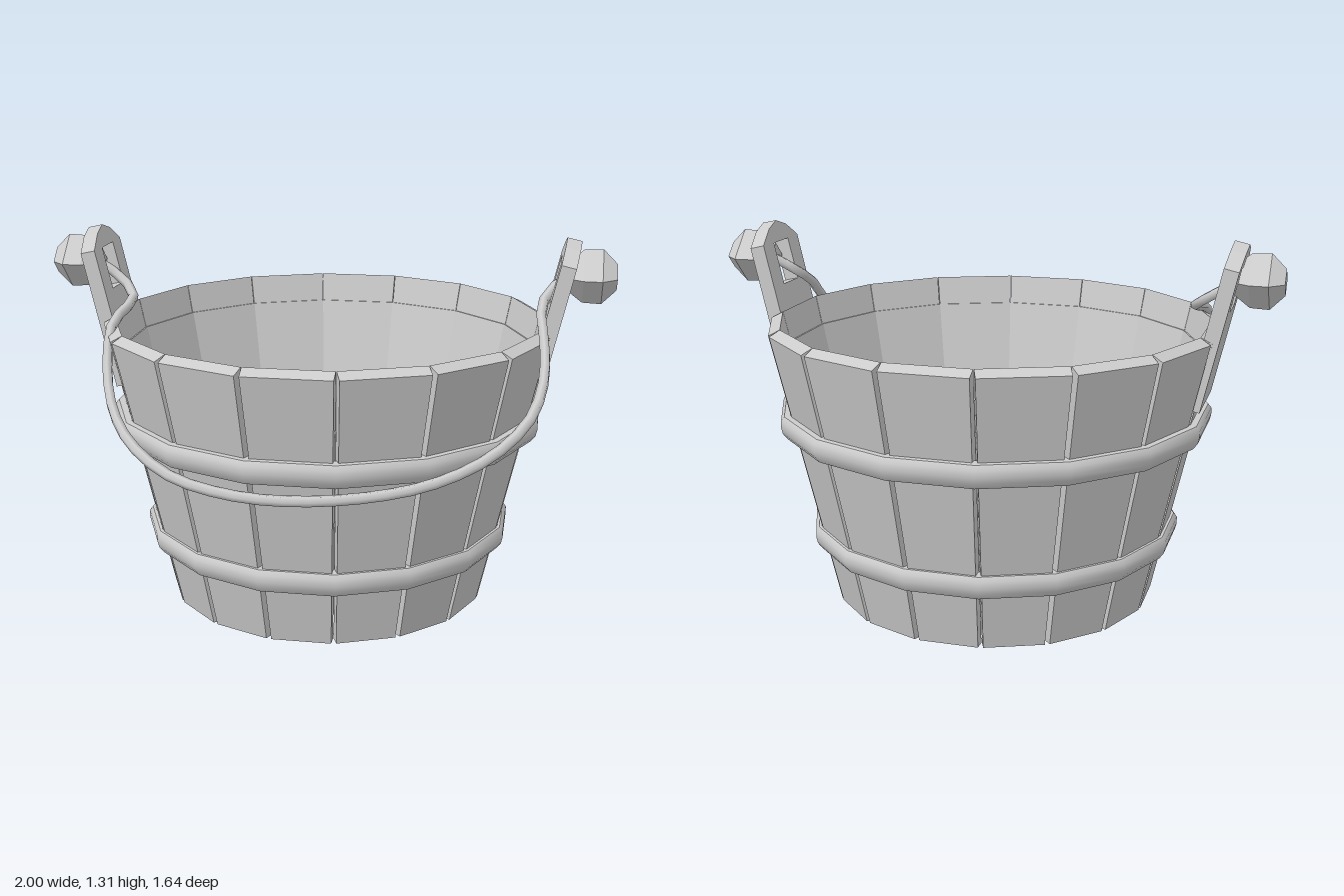
import * as THREE from 'three';
import { toCreasedNormals } from 'three/addons/utils/BufferGeometryUtils.js';

const SIDES = 16;
const HALF = Math.PI / SIDES;
const CENTRE_Z = -0.035; // bucket body sits slightly back, the handle hangs forward

const wood = new THREE.MeshStandardMaterial({ color: 0xcccccc, flatShading: true });
const woodThin = new THREE.MeshStandardMaterial({ color: 0xcccccc, flatShading: true, side: THREE.DoubleSide });
const metal = new THREE.MeshStandardMaterial({ color: 0xcccccc });

function add(parent, name, geometry, material) {
  const mesh = new THREE.Mesh(geometry, material);
  mesh.name = name;
  parent.add(mesh);
  return mesh;
}

// Sixteen-sided ring whose flats line up with the staves; radii are measured to the flats
function facetedLathe(profile) {
  const points = profile.map(([r, y]) => new THREE.Vector2(r / Math.cos(HALF), y));
  return new THREE.LatheGeometry(points, SIDES, HALF);
}

// Tapered plank leaning outward, facing +z
function staveGeometry() {
  const geo = new THREE.BoxGeometry(2, 1, 1);
  const pos = geo.attributes.position;
  for (let i = 0; i < pos.count; i++) {
    const top = pos.getY(i) > 0;
    const outer = pos.getZ(i) > 0;
    const inner = top ? 0.745 : 0.525;
    const halfWidth = inner * Math.tan(HALF) - 0.001;
    pos.setXYZ(i, Math.sign(pos.getX(i)) * halfWidth,
      top ? (outer ? 0.985 : 1.005) : 0,
      inner + (outer ? 0.04 : 0));
  }
  geo.computeVertexNormals();
  return geo;
}

// Upright plate with a peaked top and a square hole, on the +x side
function earGeometry() {
  const shape = new THREE.Shape([
    [-0.145, 0], [0.145, 0], [0.145, 0.493], [0.07, 0.543],
    [0, 0.565], [-0.07, 0.543], [-0.145, 0.493],
  ].map(([x, y]) => new THREE.Vector2(x, y)));
  shape.holes.push(new THREE.Path([
    [-0.06, 0.34], [-0.06, 0.49], [0.06, 0.49], [0.06, 0.34],
  ].map(([x, y]) => new THREE.Vector2(x, y))));
  return new THREE.ExtrudeGeometry(shape, { depth: 0.052, bevelEnabled: false })
    .rotateY(Math.PI / 2)
    .rotateZ(-0.225)
    .translate(0.70, 0.757, 0);
}

// Four-sided peg head with tapered ends, pointing along +x
function knobGeometry() {
  const profile = [[0, 0.83], [0.05, 0.83], [0.092, 0.885], [0.095, 0.95], [0.045, 1], [0, 1]];
  return new THREE.LatheGeometry(profile.map(([r, y]) => new THREE.Vector2(r, y)), 4)
    .rotateZ(-Math.PI / 2)
    .translate(0, 1.175, 0);
}

export function createModel() {
  const model = new THREE.Group();
  model.name = 'bucket';
  const body = new THREE.Group();
  body.name = 'body';
  body.position.z = CENTRE_Z;
  model.add(body);

  // Staves
  const stave = staveGeometry();
  for (let i = 0; i < SIDES; i++) {
    add(body, 'stave', stave, wood).rotation.y = i * HALF * 2;
  }

  // Inner lining with the floor, and the recessed underside
  add(body, 'lining', facetedLathe([[0, 0.1], [0.541, 0.1], [0.717, 0.9], [0.726, 0.9]]), woodThin);
  add(body, 'underside', facetedLathe([[0, 0.015], [0.53, 0.015]]), woodThin);

  // Hoops
  for (const [name, y, r] of [['lowerHoop', 0.205, 0.65], ['upperHoop', 0.62, 0.755]]) {
    const profile = [
      [r - 0.06, y], [r - 0.02, y], [r - 0.005, y + 0.02], [r, y + 0.04],
      [r, y + 0.065], [r - 0.012, y + 0.08], [r - 0.06, y + 0.08],
    ];
    add(body, name, toCreasedNormals(facetedLathe(profile), 0.8), metal);
  }

  // Ears and knobs on both sides
  const ear = earGeometry();
  const knob = knobGeometry();
  for (const [side, turn] of [['left', 0], ['right', Math.PI]]) {
    add(body, side + 'Ear', ear, wood).rotation.y = turn;
    add(body, side + 'Knob', knob, wood).rotation.y = turn;
  }

  // Bail handle, hooked through the ears and resting on the front rim
  const path = [
    [-0.86, 1.18, -0.035], [-0.77, 1.125, -0.03], [-0.695, 1.07, 0.04], [-0.705, 1.01, 0.27],
    [-0.69, 0.9, 0.38], [-0.63, 0.79, 0.52], [-0.53, 0.715, 0.65], [-0.38, 0.65, 0.745],
    [-0.2, 0.618, 0.79], [0, 0.608, 0.8], [0.25, 0.622, 0.765], [0.45, 0.66, 0.715],
    [0.62, 0.725, 0.62], [0.73, 0.81, 0.5], [0.77, 0.9, 0.36], [0.765, 1.0, 0.2],
    [0.75, 1.07, 0.09], [0.775, 1.13, -0.01], [0.86, 1.18, -0.035],
  ].map((p) => new THREE.Vector3(...p));
  add(model, 'handle', new THREE.TubeGeometry(new THREE.CatmullRomCurve3(path), 40, 0.018, 6), metal);

  return model;
}
